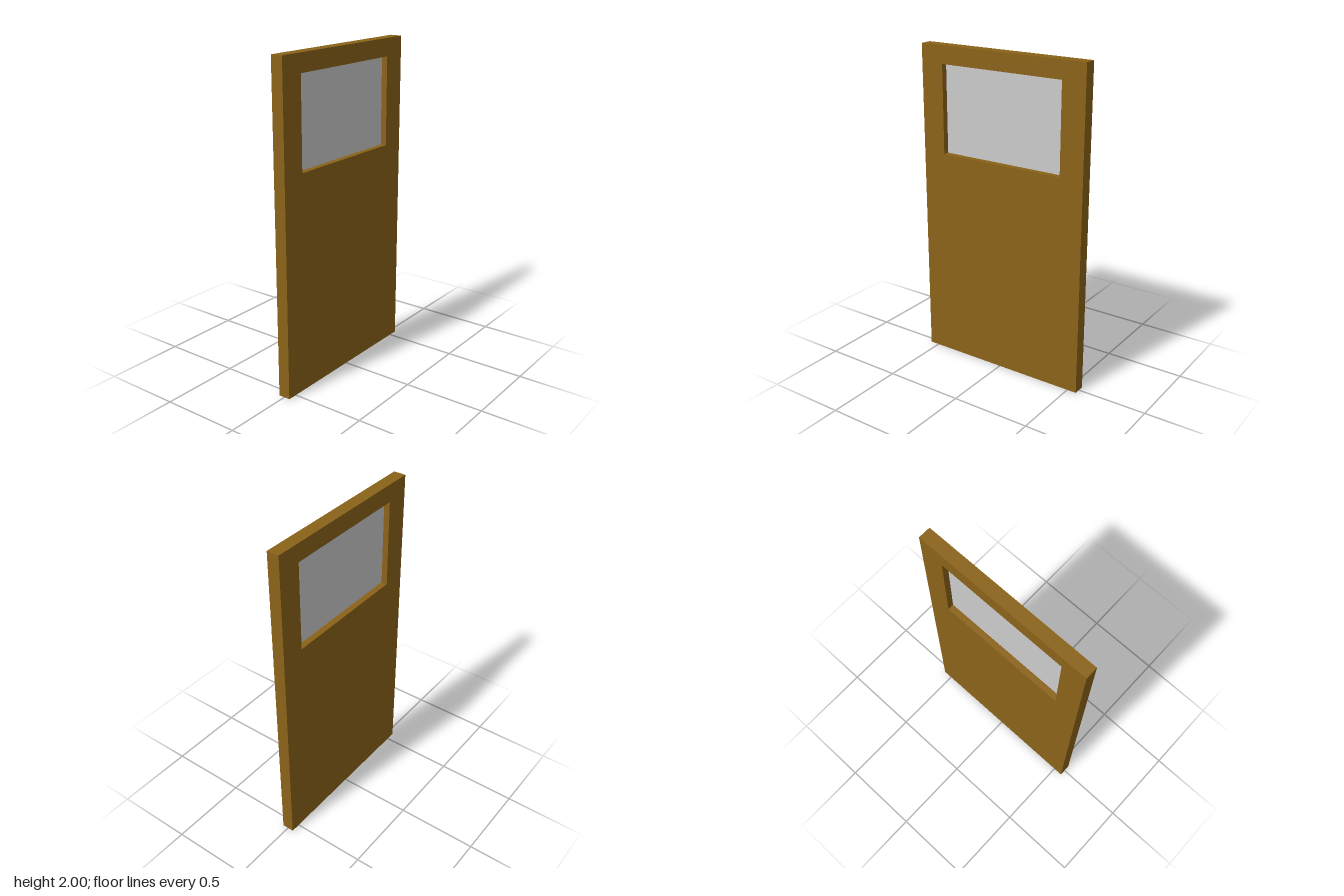
import * as THREE from 'three';

const HEIGHT = 2, WIDTH = 1.12, THICKNESS = 0.076;
const WINDOW = { width: 0.82, bottom: 1.34, top: 1.89 };

// Rectangle centred on the vertical axis, as a path or a shape
function rectangle(PathType, width, bottom, top) {
  const w = width / 2;
  const path = new PathType();
  path.moveTo(-w, bottom);
  path.lineTo(w, bottom);
  path.lineTo(w, top);
  path.lineTo(-w, top);
  path.closePath();
  return path;
}

export function createModel() {
  const door = new THREE.Group();
  door.name = 'door';

  // Door slab with a window opening cut through it
  const outline = rectangle(THREE.Shape, WIDTH, 0, HEIGHT);
  outline.holes.push(rectangle(THREE.Path, WINDOW.width, WINDOW.bottom, WINDOW.top));
  const slabGeometry = new THREE.ExtrudeGeometry(outline, { depth: THICKNESS, bevelEnabled: false });
  slabGeometry.translate(0, 0, -THICKNESS / 2);
  slabGeometry.rotateY(Math.PI / 2);
  const slab = new THREE.Mesh(slabGeometry, new THREE.MeshStandardMaterial({ color: 0x8b6319 }));
  slab.name = 'doorPanel';
  door.add(slab);

  // Thin pane set in the middle of the opening, visible from both sides
  const paneGeometry = new THREE.PlaneGeometry(WINDOW.width, WINDOW.top - WINDOW.bottom);
  paneGeometry.rotateY(Math.PI / 2);
  const pane = new THREE.Mesh(
    paneGeometry,
    new THREE.MeshStandardMaterial({ color: 0xcccccc, side: THREE.DoubleSide })
  );
  pane.name = 'windowPane';
  pane.position.y = (WINDOW.top + WINDOW.bottom) / 2;
  door.add(pane);

  return door;
}
